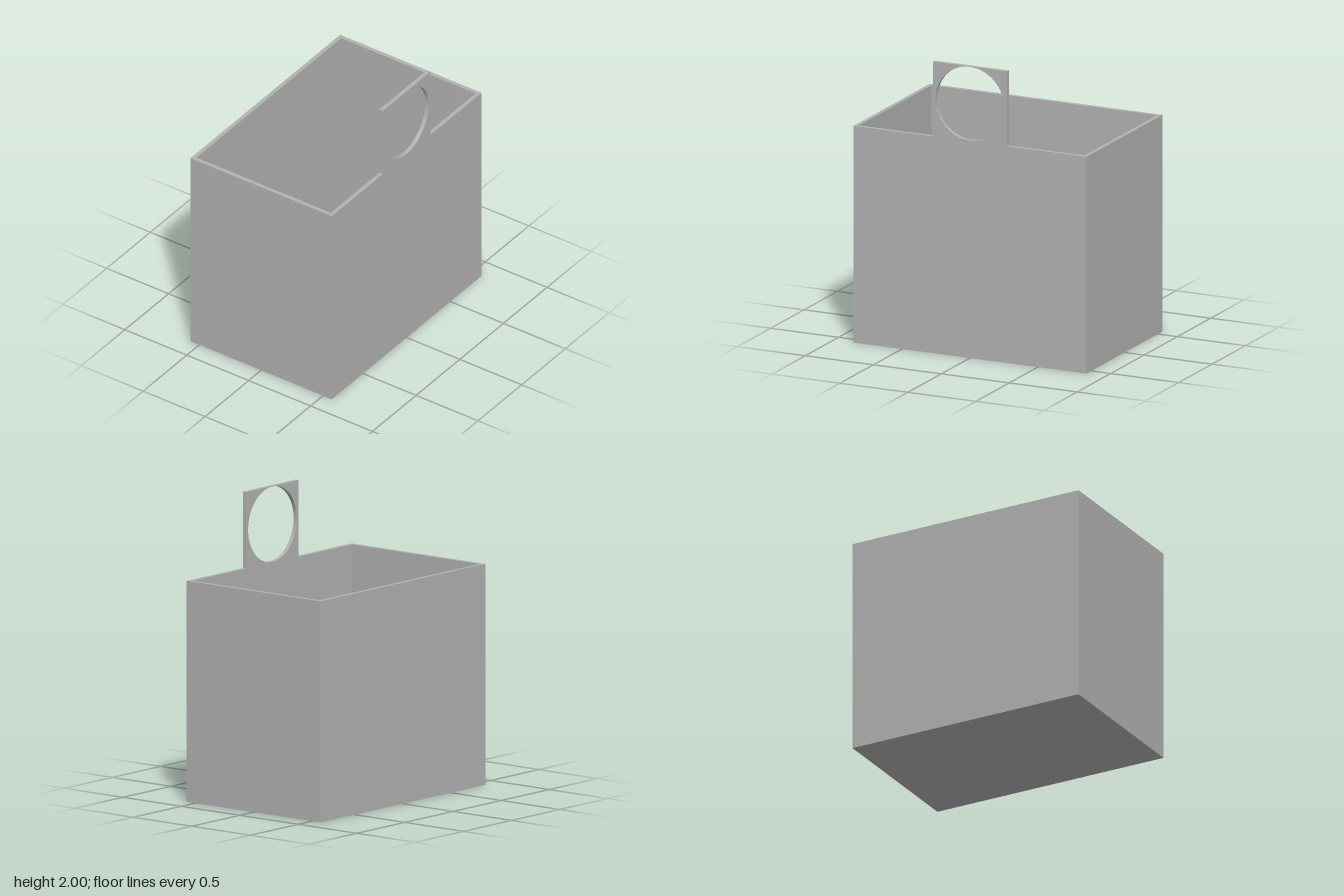
import * as THREE from 'three';

const W = 1.714, D = 1.142, H = 1.486, T = 0.028; // bin width, depth, height, wall thickness
const TAB = 0.273, TOP = 2, HOLE_Y = 1.744, HOLE_R = 0.253;

export function createModel() {
  const model = new THREE.Group();
  model.name = 'hangingBin';
  const grey = new THREE.MeshStandardMaterial({ color: 0xb2b2b2 });
  grey.name = 'grey';

  const add = (name, geometry, x, y, z) => {
    const mesh = new THREE.Mesh(geometry, grey);
    mesh.name = name;
    mesh.position.set(x, y, z);
    model.add(mesh);
  };

  // Front wall with its hanging tab and round hole, in one piece
  const front = new THREE.Shape([
    [-W / 2, 0], [W / 2, 0], [W / 2, H], [TAB, H],
    [TAB, TOP], [-TAB, TOP], [-TAB, H], [-W / 2, H],
  ].map(([x, y]) => new THREE.Vector2(x, y)));
  front.holes.push(new THREE.Path().absarc(0, HOLE_Y, HOLE_R, 0, Math.PI * 2, true));
  add('frontWallWithTab',
    new THREE.ExtrudeGeometry(front, { depth: T, bevelEnabled: false, curveSegments: 32 }),
    0, 0, D / 2 - T);

  // Back wall
  add('backWall', new THREE.BoxGeometry(W, H, T), 0, H / 2, -D / 2 + T / 2);

  // Side walls between front and back
  for (const [name, side] of [['leftWall', 1], ['rightWall', -1]]) {
    add(name, new THREE.BoxGeometry(T, H, D - 2 * T), side * (W / 2 - T / 2), H / 2, 0);
  }

  // Floor inside the walls
  add('floor', new THREE.BoxGeometry(W - 2 * T, T, D - 2 * T), 0, T / 2, 0);

  return model;
}
